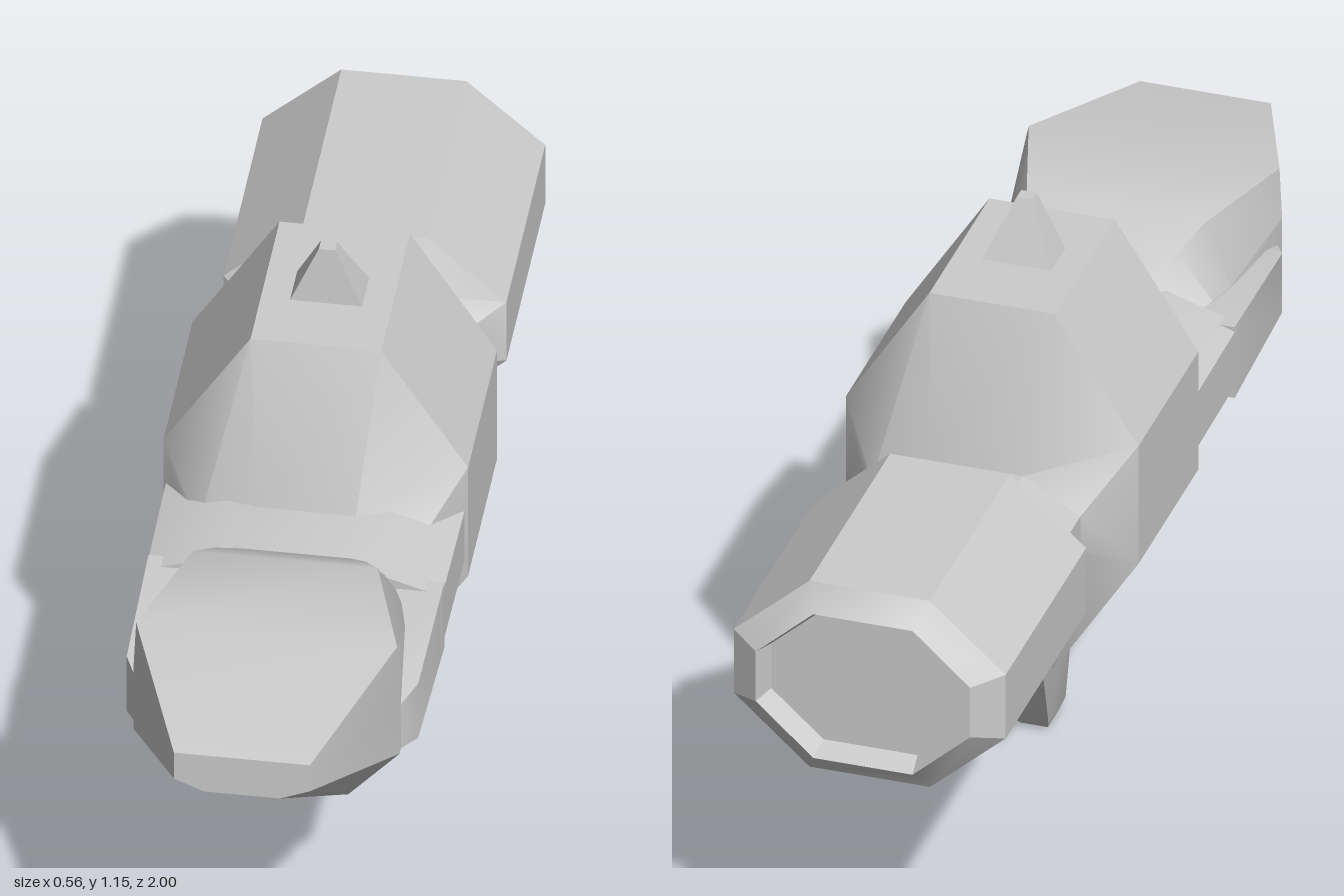
import * as THREE from 'three';
import { toCreasedNormals } from 'three/addons/utils/BufferGeometryUtils.js';

const material = new THREE.MeshStandardMaterial({ color: 0xcccccc });

// Skin a list of equal-length rings of [x, y, z] points, closing both ends.
function loft(name, rings, crease = 0.5) {
  const n = rings[0].length;
  const index = [];
  for (let i = 0; i < rings.length - 1; i++) {
    for (let j = 0; j < n; j++) {
      const a = i * n + j, b = i * n + (j + 1) % n;
      index.push(a, b, b + n, a, b + n, a + n);
    }
  }
  const last = (rings.length - 1) * n;
  for (let j = 1; j < n - 1; j++) {
    index.push(0, j + 1, j, last, last + j, last + j + 1);
  }
  const geometry = new THREE.BufferGeometry();
  geometry.setAttribute('position', new THREE.Float32BufferAttribute(rings.flat(2), 3));
  geometry.setIndex(index);
  const mesh = new THREE.Mesh(toCreasedNormals(geometry, crease), material);
  mesh.name = name;
  return mesh;
}

// Symmetric ring at depth z from its right half, listed bottom to top.
const mirrored = (z, half) => [
  ...half.map(([x, y]) => [x, y, z]),
  ...half.slice().reverse().map(([x, y]) => [-x, y, z]),
];

// Eight-sided ring: half width, flat half width, bottom, top, side bottom, side top.
const octagon = (z, w, flat, y0, y1, s0, s1) =>
  mirrored(z, [[flat, y0], [w, s0], [w, s1], [flat, y1]]);

// Four-sided horizontal ring for the fins.
const slab = (y, x, front, back) =>
  [[x, y, front], [x, y, back], [-x, y, back], [-x, y, front]];

export function createModel() {
  const model = new THREE.Group();
  model.name = 'spacecraft';

  // Rear engine with a bevelled, recessed nozzle
  model.add(loft('engine', [
    octagon(-0.955, 0.19, 0.09, 0.50, 0.775, 0.59, 0.685),
    octagon(-1.0, 0.205, 0.095, 0.485, 0.79, 0.585, 0.69),
    octagon(-0.96, 0.26, 0.115, 0.44, 0.835, 0.57, 0.705),
    octagon(-0.49, 0.26, 0.115, 0.44, 0.835, 0.57, 0.705),
    octagon(-0.44, 0.20, 0.09, 0.535, 0.74, 0.60, 0.675),
  ]));

  model.add(loft('rearNeck', [
    octagon(-0.45, 0.20, 0.09, 0.535, 0.74, 0.60, 0.675),
    octagon(-0.33, 0.20, 0.09, 0.535, 0.74, 0.60, 0.675),
  ]));

  // Central hull tapering at both ends
  model.add(loft('hull', [
    octagon(-0.34, 0.20, 0.09, 0.535, 0.74, 0.60, 0.675),
    octagon(-0.245, 0.28, 0.12, 0.285, 1.035, 0.535, 0.785),
    octagon(0.105, 0.28, 0.12, 0.285, 1.035, 0.535, 0.785),
    octagon(0.215, 0.20, 0.09, 0.53, 0.735, 0.60, 0.675),
  ]));

  // Flat neck reaching forward to the cockpit
  model.add(loft('frontNeck', [
    octagon(0.08, 0.275, 0.16, 0.53, 0.735, 0.575, 0.69),
    octagon(0.37, 0.272, 0.13, 0.53, 0.735, 0.575, 0.69),
  ]));

  // Cockpit pod, from the neck to the pointed nose
  model.add(loft('cockpit', [
    mirrored(0.34, [[0.10, 0.53], [0.18, 0.58], [0.18, 0.69], [0.10, 0.735]]),
    mirrored(0.415, [[0.12, 0.435], [0.21, 0.56], [0.205, 0.70], [0.14, 0.79]]),
    mirrored(0.475, [[0.13, 0.40], [0.225, 0.56], [0.22, 0.70], [0.17, 0.825]]),
    mirrored(0.70, [[0.15, 0.475], [0.245, 0.58], [0.245, 0.72], [0.24, 0.825]]),
    mirrored(1.0, [[0.07, 0.687], [0.125, 0.71], [0.125, 0.72], [0.125, 0.77]]),
  ], 0.6));

  // Side arms along the cockpit: [z, inner x, outer x, bottom, top]
  const armSections = [
    [0.34, 0.15, 0.272, 0.55, 0.70],
    [0.63, 0.205, 0.268, 0.565, 0.69],
    [0.68, 0.225, 0.242, 0.575, 0.675],
  ];
  for (const side of [1, -1]) {
    const rings = armSections.map(([z, xi, xo, y0, y1]) => {
      const ring = [[xi, y0], [xo, y0], [xo, y1], [xi, y1]]
        .map(([x, y]) => [side * x, y, z]);
      return side > 0 ? ring : ring.reverse();
    });
    model.add(loft(side > 0 ? 'leftArm' : 'rightArm', rings));
  }

  // Swept lower fin and small upper fin
  model.add(loft('lowerFin', [
    slab(0, 0.026, 0.06, 0.0),
    slab(0.02, 0.034, 0.08, -0.02),
    slab(0.30, 0.07, 0.03, -0.185),
  ]));
  model.add(loft('upperFin', [
    slab(1.02, 0.073, -0.018, -0.11),
    slab(1.15, 0.015, -0.03, -0.055),
  ]));

  return model;
}
